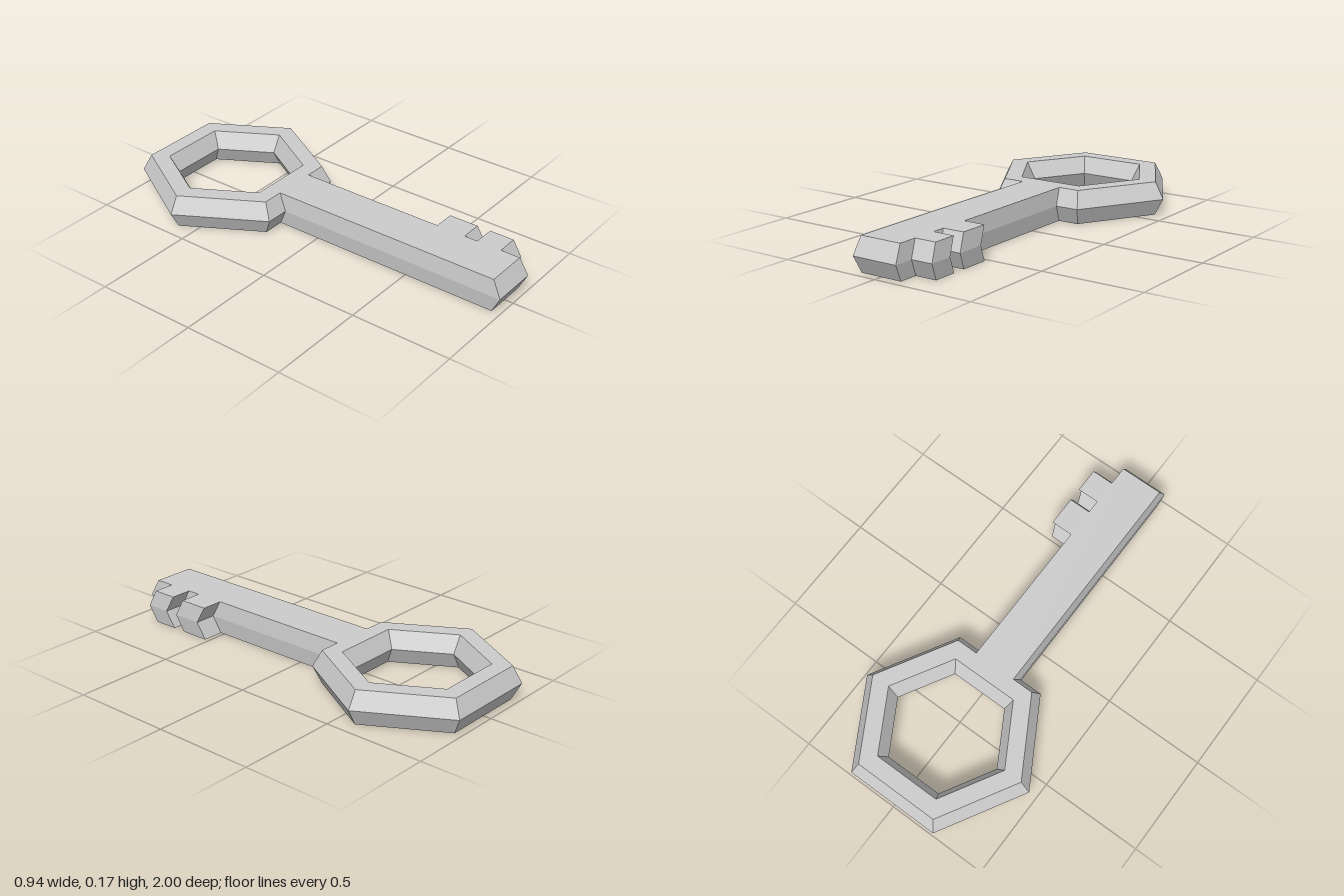
import * as THREE from 'three';

const HEIGHT = 0.165;

// Solid with flat top and bottom outlines that shift to a second outline at mid height.
// Loops hold [x, z] points: the first runs anticlockwise from above, holes run clockwise.
function ridgedSolid(capLoops, midLoops) {
  const positions = [];
  const tri = (...corners) => corners.forEach(c => positions.push(...c));
  const at = ([x, z], y) => [x, y, z];

  // side walls, lower and upper half
  capLoops.forEach((cap, l) => {
    const mid = midLoops[l];
    cap.forEach((_, i) => {
      const j = (i + 1) % cap.length;
      for (const [low, y0, high, y1] of [[cap, 0, mid, HEIGHT / 2], [mid, HEIGHT / 2, cap, HEIGHT]]) {
        const a = at(low[i], y0), b = at(low[j], y0), c = at(high[j], y1), d = at(high[i], y1);
        tri(a, b, c);
        tri(a, c, d);
      }
    });
  });

  // top and bottom caps
  const flat = capLoops.map(loop => loop.map(([x, z]) => new THREE.Vector2(x, -z)));
  const points = capLoops.flat();
  for (const [a, b, c] of THREE.ShapeUtils.triangulateShape(flat[0], flat.slice(1))) {
    tri(at(points[a], HEIGHT), at(points[b], HEIGHT), at(points[c], HEIGHT));
    tri(at(points[c], 0), at(points[b], 0), at(points[a], 0));
  }

  const geometry = new THREE.BufferGeometry();
  geometry.setAttribute('position', new THREE.Float32BufferAttribute(positions, 3));
  geometry.computeVertexNormals();
  return geometry;
}

// Hexagon with corners on the x axis; direction 1 is anticlockwise from above
function hexagon(radius, centreZ, direction) {
  return Array.from({ length: 6 }, (_, i) => {
    const angle = direction * i * Math.PI / 3;
    return [radius * Math.cos(angle), centreZ - radius * Math.sin(angle)];
  });
}

// Rectangle, anticlockwise from above
const rectangle = (x0, x1, z0, z1) => [[x0, z0], [x0, z1], [x1, z1], [x1, z0]];

export function createModel() {
  const key = new THREE.Group();
  key.name = 'key';
  const metal = new THREE.MeshStandardMaterial({ color: 0xcccccc });
  metal.name = 'grey metal';
  metal.flatShading = true;

  const add = (name, capLoops, midLoops) => {
    const mesh = new THREE.Mesh(ridgedSolid(capLoops, midLoops), metal);
    mesh.name = name;
    key.add(mesh);
  };

  // hexagonal bow, ridged outside and inside the hole
  const bowZ = -0.593;
  add('bow',
    [hexagon(0.425, bowZ, 1), hexagon(0.333, bowZ, -1)],
    [hexagon(0.47, bowZ, 1), hexagon(0.287, bowZ, -1)]);

  // shaft with a ridged tip
  add('shaft',
    [rectangle(-0.107, 0.107, -0.225, 0.957)],
    [rectangle(-0.117, 0.117, -0.225, 1)]);

  // two teeth, with ridged fronts and grooved backs
  [[0.522, 0.67], [0.737, 0.86]].forEach(([back, front], i) => {
    add(`tooth${i + 1}`,
      [rectangle(0.107, 0.215, back, front)],
      [rectangle(0.107, 0.226, back + 0.041, front + 0.039)]);
  });

  return key;
}
